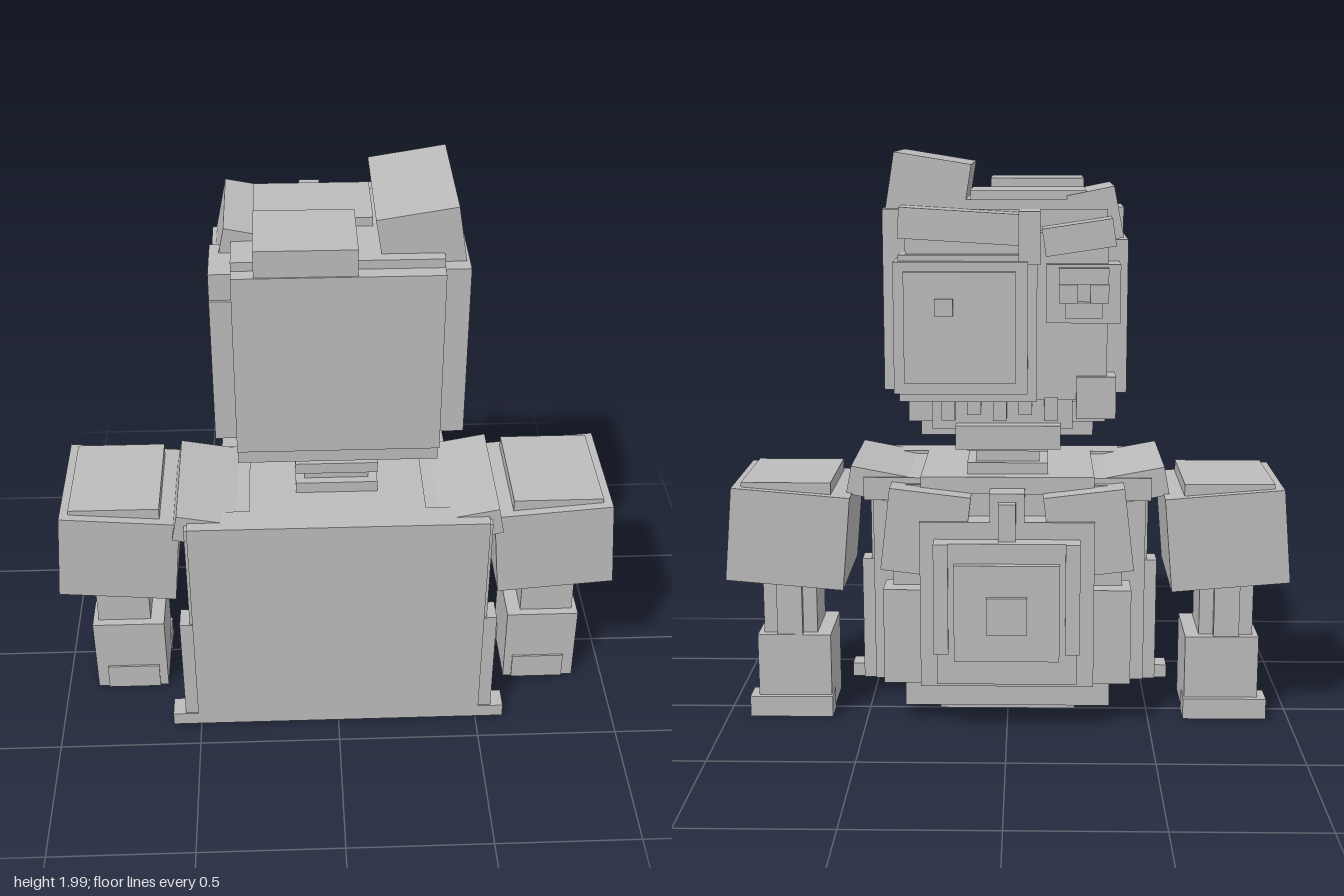
import * as THREE from 'three';

export function createModel() {
  const root = new THREE.Group();
  root.name = 'blockBust';
  const grey = new THREE.MeshStandardMaterial({ color: 0xbcbcbc });
  grey.name = 'light grey';

  const section = (name) => {
    const g = new THREE.Group();
    g.name = name;
    root.add(g);
    return g;
  };
  // box from its limits on each axis, optionally tilted about z through its centre
  const block = (parent, name, [x0, x1], [y0, y1], [z0, z1], tilt = 0) => {
    const m = new THREE.Mesh(new THREE.BoxGeometry(x1 - x0, y1 - y0, z1 - z0), grey);
    m.position.set((x0 + x1) / 2, (y0 + y1) / 2, (z0 + z1) / 2);
    m.rotation.z = tilt;
    m.name = name;
    parent.add(m);
  };
  // the same box on both sides of the body
  const pair = (parent, name, [x0, x1], y, z, tilt = 0) => {
    block(parent, name + 'Left', [x0, x1], y, z, tilt);
    block(parent, name + 'Right', [-x1, -x0], y, z, -tilt);
  };

  // Head: skull, side panels, stepped chin
  const head = section('head');
  block(head, 'skull', [-0.33, 0.33], [1.17, 1.81], [-0.21, 0.35]);
  block(head, 'crown', [-0.33, 0.33], [1.8, 1.84], [-0.2, 0.3]);
  block(head, 'sidePanelLeft', [0.32, 0.41], [1.21, 1.81], [-0.21, 0.31]);
  block(head, 'sidePanelRight', [-0.4, -0.32], [1.2, 1.71], [-0.2, 0.31]);
  block(head, 'lowerSkull', [-0.33, 0.33], [1.1, 1.18], [-0.2, 0.31]);
  block(head, 'headBase', [-0.29, 0.29], [1.05, 1.11], [-0.18, 0.24]);

  // Hair blocks
  block(head, 'hairLeft', [0.13, 0.387], [1.785, 1.975], [-0.2, 0.26], 0.16);
  block(head, 'hairMiddle', [-0.26, 0.06], [1.78, 1.9], [0.07, 0.345]);
  block(head, 'hairRight', [-0.37, -0.21], [1.7, 1.87], [-0.2, 0.16], -0.2);
  block(head, 'hairCorner', [-0.4, -0.3], [1.7, 1.8], [0.1, 0.3]);
  block(head, 'hairBack', [-0.26, 0.12], [1.82, 1.87], [-0.19, 0.07]);

  // Face
  const face = section('face');
  block(face, 'facePlate', [-0.33, 0.33], [1.19, 1.74], [-0.29, -0.2]);
  block(face, 'browLeft', [-0.06, 0.35], [1.71, 1.81], [-0.32, -0.2], 0.06);
  block(face, 'browRight', [-0.35, -0.12], [1.68, 1.77], [-0.32, -0.2], -0.15);
  block(face, 'noseBridge', [-0.11, -0.04], [1.64, 1.81], [-0.34, -0.2]);
  // large eye built of stepped plates
  block(face, 'largeEyeRim', [-0.1, 0.35], [1.19, 1.67], [-0.33, -0.21]);
  block(face, 'largeEyeStep', [-0.07, 0.365], [1.22, 1.65], [-0.36, -0.21]);
  block(face, 'largeEyePlate', [-0.03, 0.33], [1.26, 1.62], [-0.385, -0.3]);
  block(face, 'largeEyePupil', [0.17, 0.23], [1.48, 1.535], [-0.4, -0.38]);
  // small eye
  block(face, 'smallEyeRim', [-0.37, -0.13], [1.45, 1.64], [-0.33, -0.2]);
  block(face, 'smallEyeLid', [-0.33, -0.17], [1.58, 1.63], [-0.365, -0.3]);
  block(face, 'smallEyeBag', [-0.31, -0.19], [1.47, 1.52], [-0.36, -0.3]);
  for (const x of [-0.33, -0.23]) {
    block(face, 'smallEyeStud', [x, x + 0.06], [1.52, 1.58], [-0.38, -0.3]);
  }
  // mouth
  block(face, 'cheek', [-0.36, -0.23], [1.13, 1.27], [-0.31, -0.18]);
  block(face, 'mouthBack', [-0.22, 0.25], [1.08, 1.2], [-0.23, -0.15]);
  for (let i = 0; i < 5; i++) {
    const x = -0.17 + i * 0.085;
    block(face, 'tooth', [x, x + 0.045], [1.12 + 0.02 * (i % 2), 1.2], [-0.295, -0.2]);
  }
  block(face, 'jaw', [-0.18, 0.17], [1.02, 1.1], [-0.28, -0.11]);

  // Neck
  const neck = section('neck');
  block(neck, 'neckPost', [-0.11, 0.11], [0.86, 1.06], [-0.05, 0.17]);
  block(neck, 'neckRing', [-0.14, 0.14], [0.97, 1.01], [-0.075, 0.2]);
  block(neck, 'neckBase', [-0.14, 0.14], [0.88, 0.93], [-0.08, 0.2]);

  // Torso
  const torso = section('torso');
  block(torso, 'body', [-0.4, 0.4], [0.18, 0.86], [-0.12, 0.3]);
  block(torso, 'belly', [-0.3, 0.3], [0.16, 0.75], [-0.21, -0.1]);
  block(torso, 'hips', [-0.36, 0.36], [0.06, 0.2], [-0.13, 0.22]);
  block(torso, 'hipBase', [-0.24, 0.24], [0.03, 0.07], [-0.08, 0.18]);
  block(torso, 'shoulderDeck', [-0.5, 0.5], [0.8, 0.88], [-0.1, 0.36]);
  block(torso, 'collar', [-0.3, 0.3], [0.83, 0.89], [-0.13, 0.3]);
  pair(torso, 'shoulderFlap', [0.35, 0.555], [0.8, 0.9], [-0.09, 0.36], 0.19);
  pair(torso, 'lapel', [0.14, 0.42], [0.56, 0.85], [-0.2, -0.08], 0.12);
  pair(torso, 'pouch', [0.3, 0.43], [0.16, 0.5], [-0.18, -0.06]);

  // Chest plate with stepped layers
  block(torso, 'chestPlate', [-0.24, 0.24], [0.19, 0.69], [-0.27, -0.18]);
  block(torso, 'chestStep', [-0.18, 0.18], [0.28, 0.62], [-0.295, -0.25]);
  block(torso, 'chestButton', [-0.07, 0.07], [0.38, 0.51], [-0.31, -0.28]);
  block(torso, 'clasp', [-0.06, 0.06], [0.75, 0.85], [-0.21, -0.1]);
  block(torso, 'claspBar', [-0.03, 0.03], [0.66, 0.82], [-0.24, -0.15]);
  pair(torso, 'chestPost', [0.2, 0.25], [0.3, 0.69], [-0.28, -0.18]);

  // Cape
  const cape = section('cape');
  block(cape, 'capePanel', [-0.51, 0.51], [0, 0.89], [0.3, 0.4]);
  pair(cape, 'capeEdge', [0.47, 0.52], [0.41, 0.88], [0.32, 0.39]);
  pair(cape, 'capeSkirt', [0.5, 0.555], [0, 0.47], [0.31, 0.395]);
  pair(cape, 'capeHem', [0.5, 0.6], [0, 0.05], [0.32, 0.4]);

  // Arms
  const arms = section('arms');
  pair(arms, 'sleeve', [0.555, 0.965], [0.51, 0.84], [-0.17, 0.28], 0.085);
  pair(arms, 'sleeveTop', [0.61, 0.92], [0.8, 0.87], [-0.14, 0.25]);
  pair(arms, 'forearm', [0.68, 0.87], [0.28, 0.54], [-0.05, 0.16]);
  pair(arms, 'forearmStrip', [0.73, 0.82], [0.28, 0.54], [-0.075, 0]);
  pair(arms, 'hand', [0.63, 0.89], [0, 0.3], [-0.08, 0.19]);
  pair(arms, 'handPlate', [0.66, 0.85], [0, 0.1], [0.1, 0.197]);
  pair(arms, 'fingers', [0.625, 0.92], [0, 0.075], [-0.1, -0.01]);

  return root;
}
